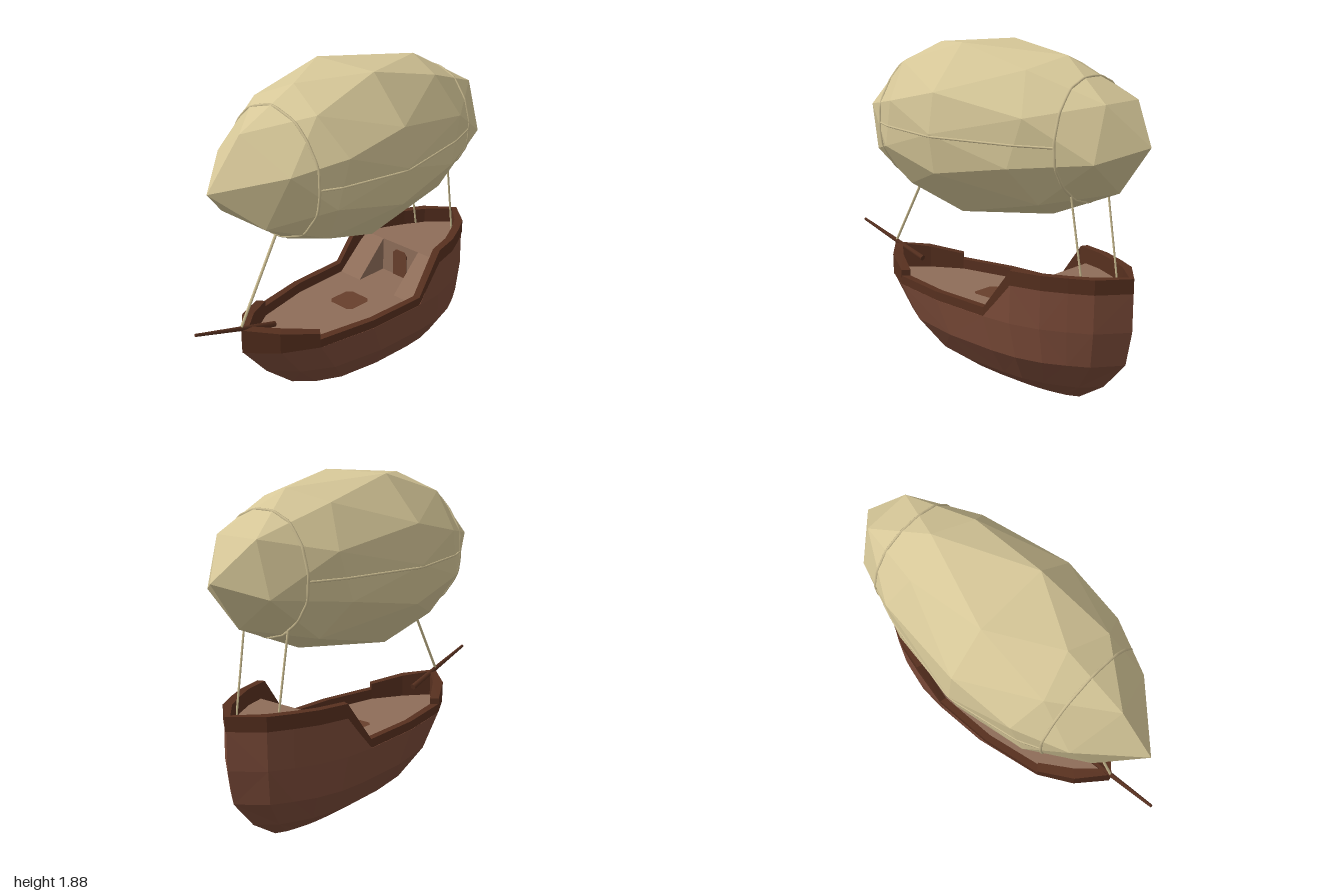
import * as THREE from 'three';

const paint = (name, color) => Object.assign(new THREE.MeshStandardMaterial({ color }), { name });
const V = (x, y, z) => new THREE.Vector3(x, y, z);

// Half plan of the bulwark: [half width, z], bow to pointed stern
const PLAN = [[0, 0.78], [0.15, 0.64], [0.258, 0.45], [0.322, 0.1], [0.335, -0.27],
  [0.325, -0.45], [0.283, -0.62], [0.222, -0.75], [0.155, -0.87], [0, -1.0]];
const BOW = 0.78, STERN = -1.0, DECK = 0.45, AFT_DECK = 0.66, CABIN_Z = -0.48, CABIN_W = 0.14;

// Mirrors a half outline into a full loop: bow, +x side, stern, -x side
const mirrored = half => [...half, ...half.slice(1, -1).reverse().map(p => V(-p.x, p.y, p.z))];

// Flat-faceted skin between successive rings of points
function loft(rings, { closed = true, capStart = false, capEnds = false } = {}) {
  const out = [];
  const tri = (...pts) => pts.forEach(p => out.push(p.x, p.y, p.z));
  const n = rings[0].length;
  for (let r = 0; r < rings.length - 1; r++) {
    for (let i = 0; i < (closed ? n : n - 1); i++) {
      const j = (i + 1) % n;
      const a = rings[r][i], b = rings[r][j], c = rings[r + 1][j], d = rings[r + 1][i];
      if ((i + r) % 2) { tri(a, b, c); tri(a, c, d); } else { tri(a, b, d); tri(b, c, d); }
    }
  }
  if (capStart) for (let i = 1; i < n - 1; i++) tri(rings[0][0], rings[0][i + 1], rings[0][i]);
  if (capEnds) {
    const s = rings.map(r => r[0]), e = rings.map(r => r[n - 1]);
    tri(s[0], s[1], s[2]); tri(s[0], s[2], s[3]);
    tri(e[0], e[2], e[1]); tri(e[0], e[3], e[2]);
  }
  const g = new THREE.BufferGeometry();
  g.setAttribute('position', new THREE.Float32BufferAttribute(out, 3));
  g.computeVertexNormals();
  return g;
}

// Horizontal plate from [x, z] points
function plate(points, y) {
  const shape = new THREE.Shape(points.map(([x, z]) => new THREE.Vector2(x, -z)));
  return new THREE.ShapeGeometry(shape).rotateX(-Math.PI / 2).translate(0, y, 0);
}

// Straight round bar between two points
function bar(a, b, r0, r1 = r0, sides = 6) {
  const dir = b.clone().sub(a);
  const g = new THREE.CylinderGeometry(r1, r0, dir.length(), sides);
  g.applyQuaternion(new THREE.Quaternion().setFromUnitVectors(V(0, 1, 0), dir.clone().normalize()));
  const m = a.clone().add(b).multiplyScalar(0.5);
  return g.translate(m.x, m.y, m.z);
}

// Faceted gas bag: a sphere with a pole at each tip, longer to the rear
function gasBag(centreY) {
  const bag = new THREE.IcosahedronGeometry(1, 1).rotateX(-Math.atan(2 / (1 + Math.sqrt(5))));
  const pos = bag.attributes.position;
  const middle = [[0.21, 0.46], [0.43, 0.215], [0.465, 0]]; // widest section, top to side
  for (let i = 0; i < pos.count; i++) {
    const [ux, uy, t] = [pos.getX(i), pos.getY(i), pos.getZ(i)];
    let x = ux * 0.485, y = uy * 0.485;
    let z = t > 0 ? 0.82 * t + 0.135 * t ** 8 : 1.04 * t - 0.033 * t ** 8;
    if (Math.abs(t) < 0.05) {
      const k = Math.round((Math.atan2(Math.abs(ux), Math.abs(uy)) * 180 / Math.PI - 18) / 36);
      x = Math.sign(ux) * middle[k][0];
      y = Math.sign(uy) * middle[k][1];
    } else if (t > 0.7) {
      x *= 1.15; // blunt shoulders behind the front tip
      if (uy > 0 && Math.abs(ux) > 0.3) z -= 0.08;
    } else {
      x *= t > 0 ? 0.97 : 0.91;
    }
    pos.setXYZ(i, x, y + centreY, z);
  }
  bag.computeVertexNormals();
  bag.computeBoundingSphere();
  return bag;
}

export function createModel() {
  const canvas = paint('canvas', 0xd6c798);
  const rope = paint('rope', 0xcdbe92);
  const hullWood = paint('hull wood', 0x7a4a38);
  const trimWood = paint('trim wood', 0x57301f);
  const deckWood = paint('deck wood', 0x8e6d59);
  const doorWood = paint('door wood', 0x683f2c);
  deckWood.side = THREE.DoubleSide;

  const ship = new THREE.Group();
  ship.name = 'airship';
  const add = (name, geometry, material) => {
    const mesh = new THREE.Mesh(geometry, material);
    mesh.name = name;
    ship.add(mesh);
    return mesh;
  };

  const bagY = 1.43;
  const bagMesh = add('gasBag', gasBag(bagY), canvas);

  // Point on the gas bag, found from outside towards its axis
  const ray = new THREE.Raycaster();
  const onBag = (angle, z) => {
    const d = V(Math.sin(angle), Math.cos(angle), 0);
    ray.set(V(d.x * 2, bagY + d.y * 2, z), d.clone().negate());
    return ray.intersectObject(bagMesh)[0].point;
  };
  const strap = (name, points, closed, radius) => {
    const path = new THREE.CatmullRomCurve3(points, closed, 'centripetal');
    add(name, new THREE.TubeGeometry(path, points.length * 2, radius, 6, closed), rope);
  };

  // Straps around and along the bag
  const FRONT = 0.52, REAR = -0.705;
  for (const [name, z] of [['frontStrap', FRONT], ['rearStrap', REAR]]) {
    strap(name, Array.from({ length: 40 }, (_, i) => onBag((i + 0.5) * Math.PI / 20, z)), true, 0.008);
  }
  for (const [name, side] of [['leftStrap', 1], ['rightStrap', -1]]) {
    strap(name, Array.from({ length: 24 }, (_, i) =>
      onBag(side * 1.6, REAR + (FRONT - REAR) * i / 23)), false, 0.006);
  }

  // Mooring ropes
  add('bowRope', bar(V(0, 0.6, 0.79), V(0, 1.07, FRONT), 0.008), rope);
  for (const s of [-1, 1]) {
    add('sternRope', bar(V(s * 0.148, AFT_DECK, -0.79), V(s * 0.155, 1.17, REAR), 0.006), rope);
  }

  // Plan at a level, with its width scaled and its length remapped
  const level = (y, k, z0, z1) => mirrored(PLAN.map(([w, z]) =>
    V(w * k, y, z0 + (z - STERN) / (BOW - STERN) * (z1 - z0))));
  // Bulwark outline with a height rule; inset > 0 gives the inner face
  const outline = (height, inset = 0) => PLAN.map(([w, z], i) =>
    V(Math.max(w - inset, 0), height(z, i), z > 0 ? z - inset * z * 1.9 : z - inset * z * 0.9));

  const trimLow = z => (z < -0.4 ? 0.67 : 0.46);
  const trimTop = z => (z < -0.4 ? 0.75 : 0.51);
  const T = 0.035;

  // Hull
  add('hull', loft([
    level(0.005, 0.2, -0.67, 0.17),
    level(0.11, 0.64, -0.83, 0.43),
    level(0.27, 0.95, -0.965, 0.62),
    level(0.46, 1.02, STERN, BOW),
    mirrored(outline(trimLow)),
  ], { capStart: true }), hullWood);

  // Bulwark: outer face, top and inner face
  add('bulwark', loft([
    mirrored(outline(trimLow, -0.004)),
    mirrored(outline(trimTop, -0.004)),
    mirrored(outline(trimTop, T)),
    mirrored(outline(() => DECK, T)),
  ]), trimWood);

  // Raised rail round the bow
  const bowHalf = (height, inset) => {
    const h = outline(height, inset).slice(0, 3);
    return [...h.slice(1).reverse().map(p => V(-p.x, p.y, p.z)), ...h];
  };
  const bowTop = (z, i) => [0.6, 0.58, 0.545][i] ?? 0.51;
  add('bowRail', loft([
    bowHalf(() => 0.5, -0.005), bowHalf(bowTop, -0.005),
    bowHalf(bowTop, T), bowHalf(() => 0.5, T),
  ], { closed: false, capEnds: true }), trimWood);
  add('bowsprit', bar(V(0, 0.54, 0.55), V(0, 0.695, 1.08), 0.018, 0.009), trimWood);

  // Decks
  const inner = outline(() => 0, T - 0.003).map(p => [p.x, p.z]);
  const both = half => [...half, ...half.slice().reverse().map(([x, z]) => [-x, z])];
  add('mainDeck', plate(both(inner), DECK), deckWood);
  add('aftDeck', plate(both([[0.285, CABIN_Z], ...inner.slice(6)]), AFT_DECK), deckWood);

  // Sloped blocks either side of the cabin recess
  const slope = new THREE.Shape([[-0.27, DECK], [CABIN_Z, AFT_DECK], [CABIN_Z, DECK]]
    .map(p => new THREE.Vector2(...p)));
  for (const s of [-1, 1]) {
    const g = new THREE.ExtrudeGeometry(slope, { depth: 0.16, bevelEnabled: false });
    g.rotateY(-Math.PI / 2).translate(s > 0 ? CABIN_W + 0.16 : -CABIN_W, 0, 0);
    add('slopedDeck', g, deckWood);
  }

  // Cabin wall and arched door
  const wall = new THREE.PlaneGeometry(2 * CABIN_W, AFT_DECK - DECK);
  add('cabinWall', wall.translate(0, (AFT_DECK + DECK) / 2, CABIN_Z), deckWood);
  const door = new THREE.Shape([[-0.053, DECK], [0.053, DECK], [0.053, 0.6], [0.032, 0.622],
    [-0.032, 0.622], [-0.053, 0.6]].map(p => new THREE.Vector2(...p)));
  add('door', new THREE.ExtrudeGeometry(door, { depth: 0.006, bevelEnabled: false })
    .translate(0, 0, CABIN_Z), doorWood);

  // Deck hatch with cut corners
  const a = 0.088, b = 0.062;
  const hatch = [[a, b], [b, a], [-b, a], [-a, b], [-a, -b], [-b, -a], [b, -a], [a, -b]];
  add('hatch', plate(hatch.map(([x, z]) => [x, z - 0.037]), DECK + 0.006), doorWood);

  // The whole ship is turned a little to one side
  ship.rotation.y = -0.384;
  ship.position.set(-0.014, 0, -0.006);
  const model = new THREE.Group();
  model.name = 'model';
  model.add(ship);
  return model;
}
